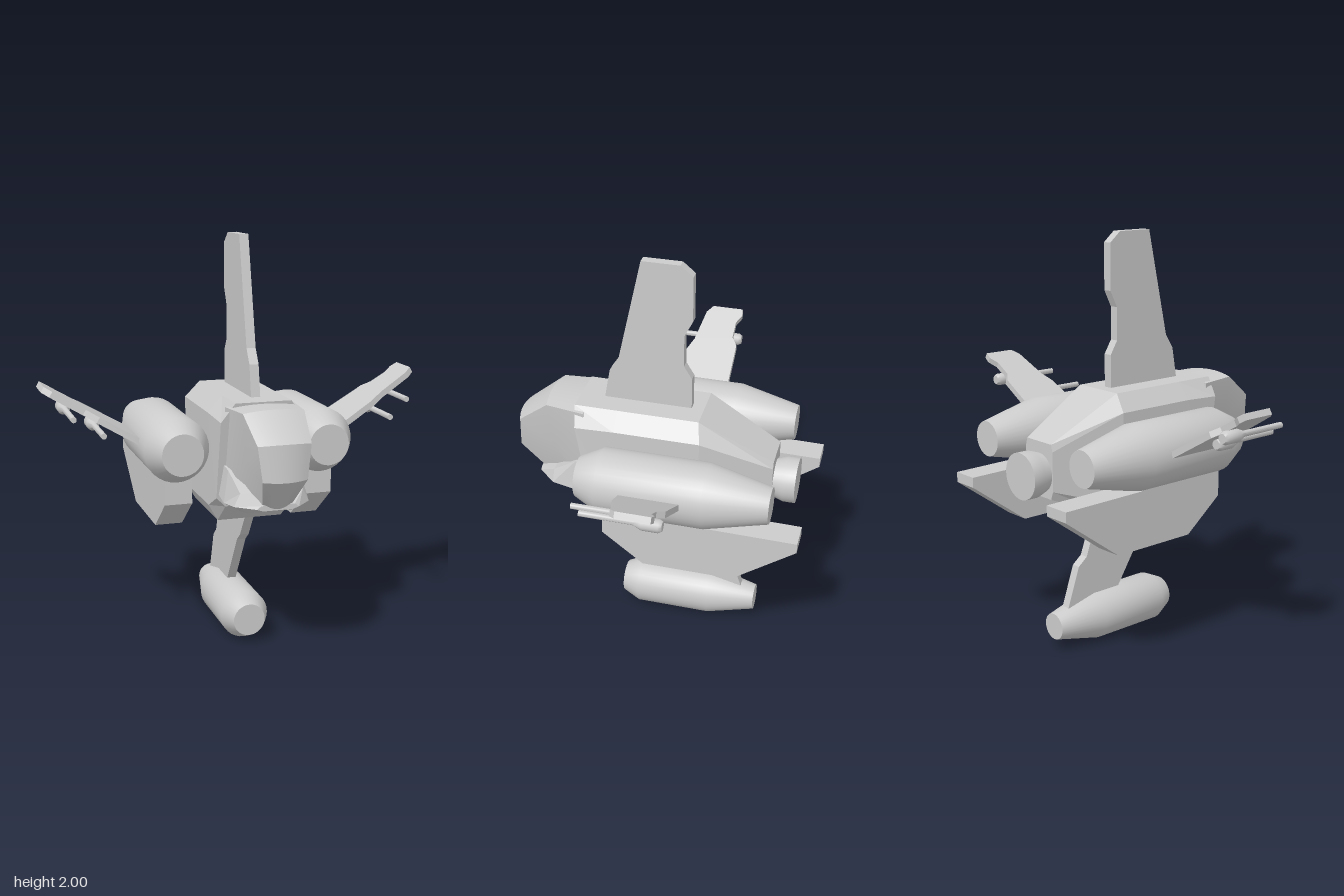
import * as THREE from 'three';
import { toCreasedNormals } from 'three/addons/utils/BufferGeometryUtils.js';

const material = new THREE.MeshStandardMaterial({ color: 0xcccccc });

function mesh(name, geometry, x = 0, y = 0, z = 0) {
  const m = new THREE.Mesh(geometry, material);
  m.name = name;
  m.position.set(x, y, z);
  return m;
}

// Turned body along z; profile is [z, radius] from back to front, closed at both ends
function turned(profile, segments = 32) {
  const pts = profile.map(([z, r]) => new THREE.Vector2(r, z));
  pts.unshift(new THREE.Vector2(0, pts[0].y));
  pts.push(new THREE.Vector2(0, pts[pts.length - 1].y));
  const g = new THREE.LatheGeometry(pts, segments).rotateX(Math.PI / 2);
  return toCreasedNormals(g, 0.75);
}

// Extruded outline, centred on its thickness
function slab(points, thickness) {
  const shape = new THREE.Shape(points.map(([a, b]) => new THREE.Vector2(a, b)));
  return new THREE.ExtrudeGeometry(shape, { depth: thickness, bevelEnabled: false })
    .translate(0, 0, -thickness / 2);
}

// Upright slab whose outline is given as [z, y]
const fin = (points, thickness) => slab(points, thickness).rotateY(-Math.PI / 2);

// Skin over closed rings of [x, y, z], capped at both ends and facing outward
function loft(rings, crease) {
  const n = rings[0].length;
  const tris = [];
  const mid = ring => [0, 1, 2].map(k => ring.reduce((s, p) => s + p[k], 0) / n);
  const first = rings[0], last = rings[rings.length - 1];
  const c0 = mid(first), c1 = mid(last);
  for (let j = 0; j < n; j++) {
    const k = (j + 1) % n;
    for (let i = 0; i < rings.length - 1; i++) {
      const a = rings[i], b = rings[i + 1];
      tris.push([a[j], a[k], b[k]], [a[j], b[k], b[j]]);
    }
    tris.push([c0, first[k], first[j]], [c1, last[j], last[k]]);
  }
  const v = p => new THREE.Vector3(...p);
  const volume = tris.reduce((s, [a, b, c]) => s + v(a).dot(v(b).cross(v(c))), 0);
  if (volume < 0) tris.forEach(t => t.reverse());
  const g = new THREE.BufferGeometry();
  g.setAttribute('position', new THREE.Float32BufferAttribute(tris.flat(2), 3));
  g.computeVertexNormals();
  return crease ? toCreasedNormals(g, crease) : g;
}

// Mirror a half ring, listed top to bottom, across x = 0
const mirrored = half => [...half, ...half.map(([x, y, z]) => [-x, y, z]).reverse()];

export function createModel() {
  const model = new THREE.Group();
  model.name = 'spacecraft';

  // Faceted hull with raked front and tapered tail
  model.add(mesh('hull', loft([
    [[0.135, 1.26, 0.41], [0.2, 1.17, 0.395], [0.205, 0.8, 0.335], [0.16, 0.755, 0.33]],
    [[0.135, 1.26, 0.2], [0.205, 1.18, 0.2], [0.205, 0.73, 0.2], [0.16, 0.65, 0.2]],
    [[0.135, 1.26, -0.2], [0.205, 1.18, -0.22], [0.205, 0.73, -0.22], [0.16, 0.65, -0.2]],
    [[0.09, 1.065, -0.56], [0.1, 1.03, -0.56], [0.1, 0.84, -0.56], [0.085, 0.8, -0.56]],
  ].map(mirrored))));

  // Canopy: side profile as [z, y, half width], bulging toward the middle
  const profile = [[0.36, 1.25, 0.17], [0.565, 1.255, 0.145], [0.725, 1.13, 0.125], [0.737, 0.96, 0.105],
    [0.62, 0.81, 0.07], [0.45, 0.77, 0.1], [0.34, 0.82, 0.17]];
  const slices = [];
  for (let i = 0; i <= 10; i++) {
    const t = i / 5 - 1, k = 1 - 0.06 * t * t;
    slices.push(profile.map(([z, y, w]) => [t * w, 1.02 + (y - 1.02) * k, 0.34 + (z - 0.34) * k]));
  }
  model.add(mesh('canopy', loft(slices, 0.6)));

  // Chin and cheeks under the canopy
  model.add(mesh('chin', loft([
    [[0.18, 0.97, 0.33], [0.195, 0.82, 0.33], [0.12, 0.765, 0.33]],
    [[0.17, 0.95, 0.41], [0.195, 0.8, 0.42], [0.12, 0.757, 0.43]],
    [[0.15, 0.87, 0.53], [0.18, 0.81, 0.53], [0.11, 0.775, 0.53]],
    [[0.08, 0.83, 0.62], [0.1, 0.815, 0.62], [0.07, 0.805, 0.62]],
  ].map(mirrored))));

  // Tail nozzle
  model.add(mesh('tailNozzle',
    turned([[-0.67, 0.112], [-0.61, 0.112], [-0.56, 0.095], [-0.5, 0.095]]), 0, 0.915, 0));

  // Dorsal and ventral fins
  model.add(mesh('dorsalFin', fin([[0.295, 1.24], [0.265, 1.41], [0.22, 1.48], [0.105, 2], [-0.08, 2],
    [-0.14, 1.95], [-0.14, 1.725], [-0.1, 1.645], [-0.1, 1.485], [-0.14, 1.42], [-0.14, 1.24]], 0.045)));
  model.add(mesh('ventralFin', fin([[0.21, 0.67], [0.12, 0.54], [0.07, 0.5], [-0.11, 0.22],
    [-0.425, 0.18], [-0.35, 0.4], [-0.3, 0.44], [-0.235, 0.62], [-0.22, 0.7]], 0.045)));
  model.add(mesh('ventralPod',
    turned([[-0.49, 0.065], [-0.255, 0.12], [0.12, 0.12], [0.205, 0.08]]), 0, 0.122, 0));

  // Parts repeated on both sides
  const slope = 0.53, root = 0.45;
  const wingOutline = [[0.45, 0.1], [0.51, 0.09], [0.7, 0.06], [0.76, 0.03], [0.91, 0], [0.945, -0.03],
    [0.945, -0.19], [0.91, -0.195], [0.87, -0.17], [0.79, -0.17], [0.75, -0.2], [0.45, -0.2]];
  for (const [side, s] of [['left', 1], ['right', -1]]) {
    model.add(mesh(side + 'EnginePod',
      turned([[-0.6, 0.087], [-0.3, 0.157], [0.21, 0.157], [0.325, 0.1]]), s * 0.36, 1.013, 0));

    model.add(mesh(side + 'Keel', fin([[0.2, 0.9], [0.2, 0.745], [0, 0.59], [-0.44, 0.59],
      [-0.74, 0.81], [-0.74, 0.86], [-0.3, 0.865], [-0.25, 0.9]], 0.135).translate(s * 0.353, 0, 0)));

    // Upswept wing with notched trailing edge
    const flat = wingOutline.map(([x, z]) => [s * (x - root) / Math.cos(slope), -z]);
    const wing = mesh(side + 'Wing', slab(flat, 0.03).rotateX(-Math.PI / 2), s * root, 1.0, 0);
    wing.rotation.z = s * slope;
    model.add(wing);

    // Guns slung beneath the wing: position, muzzle z, body front z, body back z
    for (const [name, x, y, muzzle, front, back] of [
      ['InnerGun', 0.71, 1.11, 0.245, 0.01, -0.12], ['OuterGun', 0.833, 1.177, 0.165, -0.08, -0.21]]) {
      model.add(mesh(side + name, turned([[back, 0.022], [back + 0.015, 0.031], [front - 0.04, 0.031],
        [front, 0.014], [muzzle, 0.014]], 16), s * x, y, 0));
    }
  }
  return model;
}
